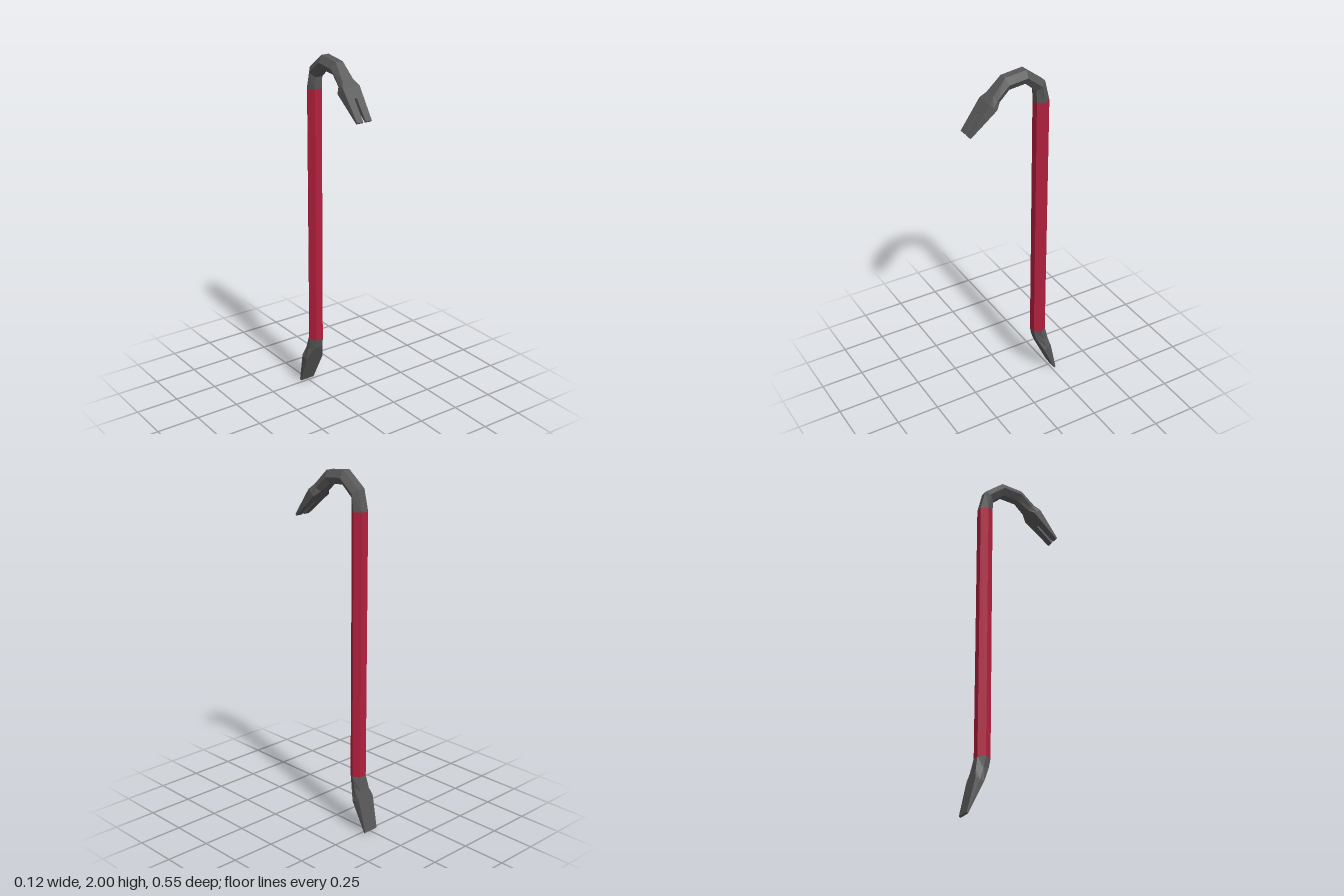
import * as THREE from 'three';

// Six-sided section: back/outer edge (oz, oy), front/inner edge (iz, iy),
// half-widths of the outer flat, the side ridge and the inner flat
function hex(oz, oy, iz, iy, wo, wm, wi = wo) {
  const mz = (oz + iz) / 2, my = (oy + iy) / 2;
  return [[wo, oy, oz], [wm, my, mz], [wi, iy, iz], [-wi, iy, iz], [-wm, my, mz], [-wo, oy, oz]];
}

// Joins a row of equal-sized sections into a faceted skin, with optional end caps
function loft(name, sections, material, capStart, capEnd) {
  const pos = [];
  const tri = (a, b, c) => pos.push(...a, ...b, ...c);
  const n = sections[0].length;
  for (let s = 0; s < sections.length - 1; s++) {
    const p = sections[s], q = sections[s + 1];
    for (let i = 0; i < n; i++) {
      const j = (i + 1) % n;
      tri(p[i], q[i], q[j]);
      tri(p[i], q[j], p[j]);
    }
  }
  const first = sections[0], last = sections[sections.length - 1];
  for (let i = 1; i < n - 1; i++) {
    if (capStart) tri(first[0], first[i], first[i + 1]);
    if (capEnd) tri(last[0], last[i + 1], last[i]);
  }
  const geometry = new THREE.BufferGeometry();
  geometry.setAttribute('position', new THREE.Float32BufferAttribute(pos, 3));
  geometry.computeVertexNormals(); // unshared corners keep the facets flat
  const mesh = new THREE.Mesh(geometry, material);
  mesh.name = name;
  return mesh;
}

export function createModel() {
  const red = new THREE.MeshStandardMaterial({ color: 0xb3203e });
  red.name = 'red paint';
  const steel = new THREE.MeshStandardMaterial({ color: 0x585858 });
  steel.name = 'dark steel';

  const group = new THREE.Group();
  group.name = 'pryBar';

  // Hexagonal shaft
  const shaftBottom = hex(-0.208, 0.315, -0.133, 0.315, 0.022, 0.045);
  const shaftTop = hex(-0.208, 1.8, -0.133, 1.8, 0.022, 0.045);
  group.add(loft('shaft', [shaftBottom, shaftTop], red, false, false));

  // Flat chisel at the foot, from its edge up to the shaft
  group.add(loft('chisel', [
    hex(-0.275, 0.006, -0.266, 0, 0.045, 0.045),
    hex(-0.232, 0.192, -0.185, 0.175, 0.054, 0.057, 0.057),
    hex(-0.222, 0.24, -0.145, 0.262, 0.033, 0.045, 0.028),
    shaftBottom,
  ], steel, true, false));

  // Claw blade: root and tip edges, with the slot starting part way along
  const root = { o: [0.16, 1.875], i: [0.12, 1.84], wo: 0.053, wi: 0.058 };
  const tip = { o: [0.275, 1.72], i: [0.267, 1.713], wo: 0.046, wi: 0.046 };
  const mix = THREE.MathUtils.lerp;
  const blade = t => ({
    o: [mix(root.o[0], tip.o[0], t), mix(root.o[1], tip.o[1], t)],
    i: [mix(root.i[0], tip.i[0], t), mix(root.i[1], tip.i[1], t)],
    wo: mix(root.wo, tip.wo, t),
    wi: mix(root.wi, tip.wi, t),
  });
  const bladeHex = t => {
    const b = blade(t);
    return hex(...b.o, ...b.i, b.wo, (b.wo + b.wi) / 2, b.wi);
  };
  const slotStart = 0.31;

  // Curved neck running into the claw
  group.add(loft('hook', [
    shaftTop,
    hex(-0.18, 1.915, -0.13, 1.868, 0.022, 0.045),
    hex(-0.07, 2.0, -0.063, 1.925, 0.022, 0.045),
    hex(0.055, 1.985, 0.03, 1.915, 0.022, 0.045),
    hex(0.13, 1.905, 0.09, 1.866, 0.034, 0.045, 0.03),
    bladeHex(0),
    bladeHex(slotStart),
  ], steel, false, false));

  // Two prongs either side of the nail slot
  for (const side of [1, -1]) {
    const sections = [[slotStart, 0], [0.35, 0.007], [1, 0.008]].map(([t, gap]) => {
      const { o, i, wo, wi } = blade(t);
      const [ox0, ox1] = side > 0 ? [wo, gap] : [-gap, -wo];
      const [ix0, ix1] = side > 0 ? [wi, gap] : [-gap, -wi];
      return [[ox0, o[1], o[0]], [ix0, i[1], i[0]], [ix1, i[1], i[0]], [ox1, o[1], o[0]]];
    });
    group.add(loft(side > 0 ? 'leftProng' : 'rightProng', sections, steel, false, true));
  }
  return group;
}
